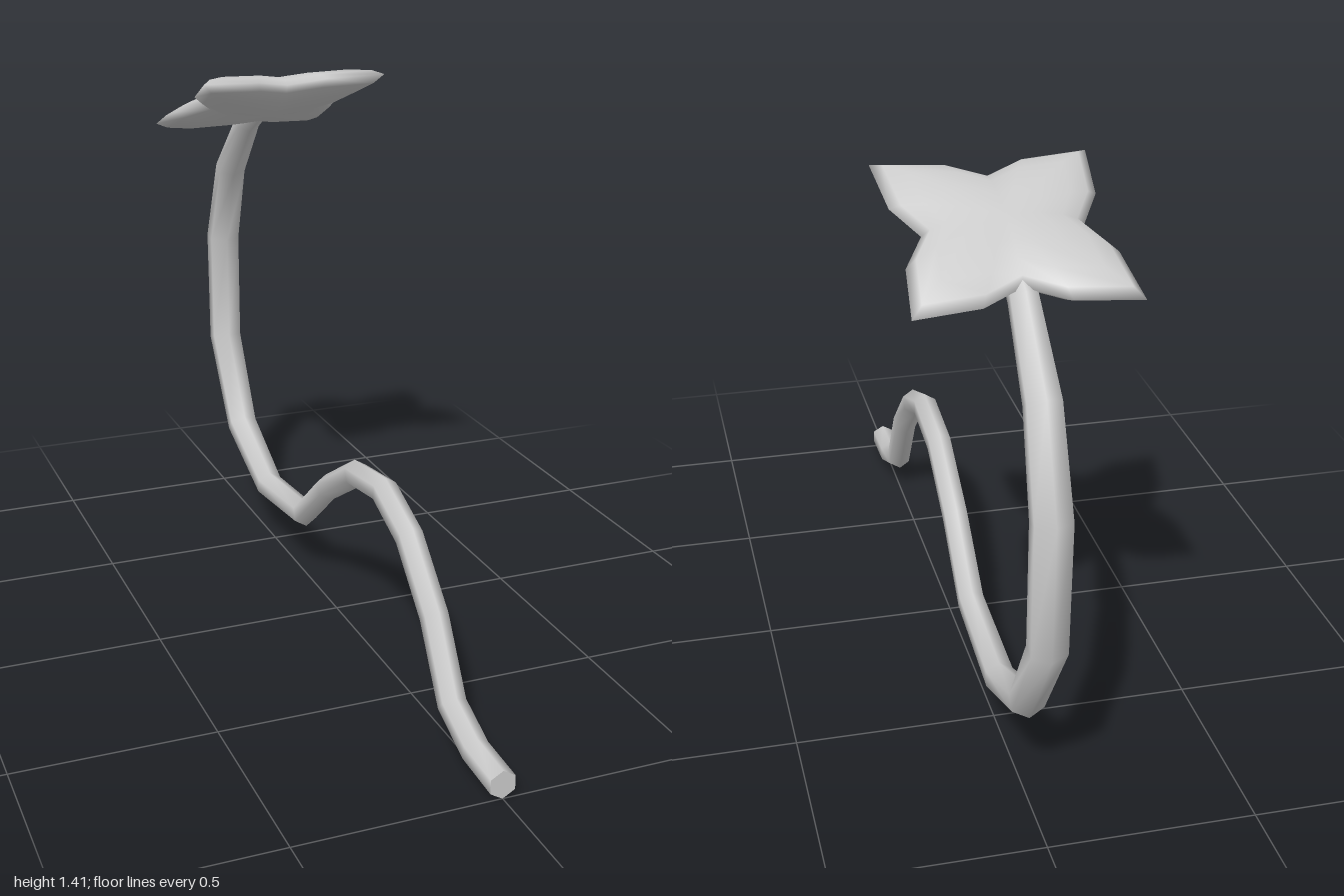
import * as THREE from 'three';
import { mergeVertices } from 'three/addons/utils/BufferGeometryUtils.js';

const material = new THREE.MeshStandardMaterial({ color: 0xcccccc });

// Six-sided stem swept through the plane x = 0; each station is [z, y, in-plane radius, sideways radius]
function stemGeometry() {
  const path = [
    [1, 0.04, 0.035, 0.035], [0.86, 0.048, 0.035, 0.035], [0.733, 0.1, 0.036, 0.035],
    [0.626, 0.275, 0.036, 0.035], [0.476, 0.417, 0.036, 0.035], [0.322, 0.477, 0.036, 0.035],
    [0.138, 0.453, 0.036, 0.035], [-0.06, 0.338, 0.036, 0.035], [-0.247, 0.187, 0.037, 0.036],
    [-0.55, 0.158, 0.039, 0.039], [-0.8, 0.266, 0.04, 0.045], [-0.953, 0.51, 0.041, 0.049],
    [-0.956, 0.828, 0.041, 0.05], [-0.866, 1.06, 0.037, 0.045], [-0.7, 1.225, 0.033, 0.036],
    [-0.58, 1.285, 0.028, 0.03],
  ];
  const sides = 6, position = [], index = [];
  path.forEach(([z, y, r, rx], i) => {
    const a = path[Math.max(i - 1, 0)], b = path[Math.min(i + 1, path.length - 1)];
    // square the front end off; elsewhere the ring bisects the bend
    const t = i === 0 ? new THREE.Vector2(-1, 0)
      : new THREE.Vector2(b[0] - a[0], b[1] - a[1]).normalize();
    for (let k = 0; k < sides; k++) {
      const c = r * Math.cos(k * Math.PI / 3), s = rx * Math.sin(k * Math.PI / 3);
      position.push(s, y - t.x * c, z + t.y * c);
      if (i < path.length - 1) {
        const p = i * sides + k, q = i * sides + (k + 1) % sides;
        index.push(p, q, q + sides, p, q + sides, p + sides);
      }
    }
  });
  // end caps on their own vertices, so their rims stay sharp
  for (const end of [0, path.length - 1]) {
    const base = position.length / 3;
    position.push(...position.slice(end * sides * 3, (end + 1) * sides * 3));
    for (let k = 1; k < sides - 1; k++) {
      if (end === 0) index.push(base, base + k + 1, base + k);
      else index.push(base, base + k, base + k + 1);
    }
  }
  const g = new THREE.BufferGeometry();
  g.setAttribute('position', new THREE.Float32BufferAttribute(position, 3));
  g.setIndex(index);
  g.computeVertexNormals();
  return g;
}

// Four-pointed lens: a lathed pillow whose radius varies from notch to tip
function starGeometry() {
  const dome = [[0, 0.047], [0.4, 0.044], [0.7, 0.034], [0.9, 0.018]];
  const profile = [
    ...dome.map(([r, h]) => new THREE.Vector2(r, -h)),
    new THREE.Vector2(1, 0),
    ...dome.map(([r, h]) => new THREE.Vector2(r, h)).reverse(),
  ];
  const reach = [0.183, 0.255, 0.357, 0.255];
  let g = new THREE.LatheGeometry(profile, 16);
  const p = g.attributes.position;
  for (let i = 0; i < p.count; i++) {
    const f = reach[Math.floor(i / profile.length) % 4];
    p.setX(i, p.getX(i) * f);
    p.setZ(i, p.getZ(i) * f);
  }
  g.deleteAttribute('uv');
  g.deleteAttribute('normal');
  g = mergeVertices(g, 1e-5);
  g.computeVertexNormals();
  return g;
}

export function createModel() {
  const model = new THREE.Group();
  model.name = 'curvedStemWithStar';

  const stem = new THREE.Mesh(stemGeometry(), material);
  stem.name = 'stem';

  // star head, tilted up towards the front
  const star = new THREE.Mesh(starGeometry(), material);
  star.name = 'starHead';
  star.position.set(0, 1.315, -0.527);
  star.rotation.x = -0.365;

  model.add(stem, star);
  return model;
}
